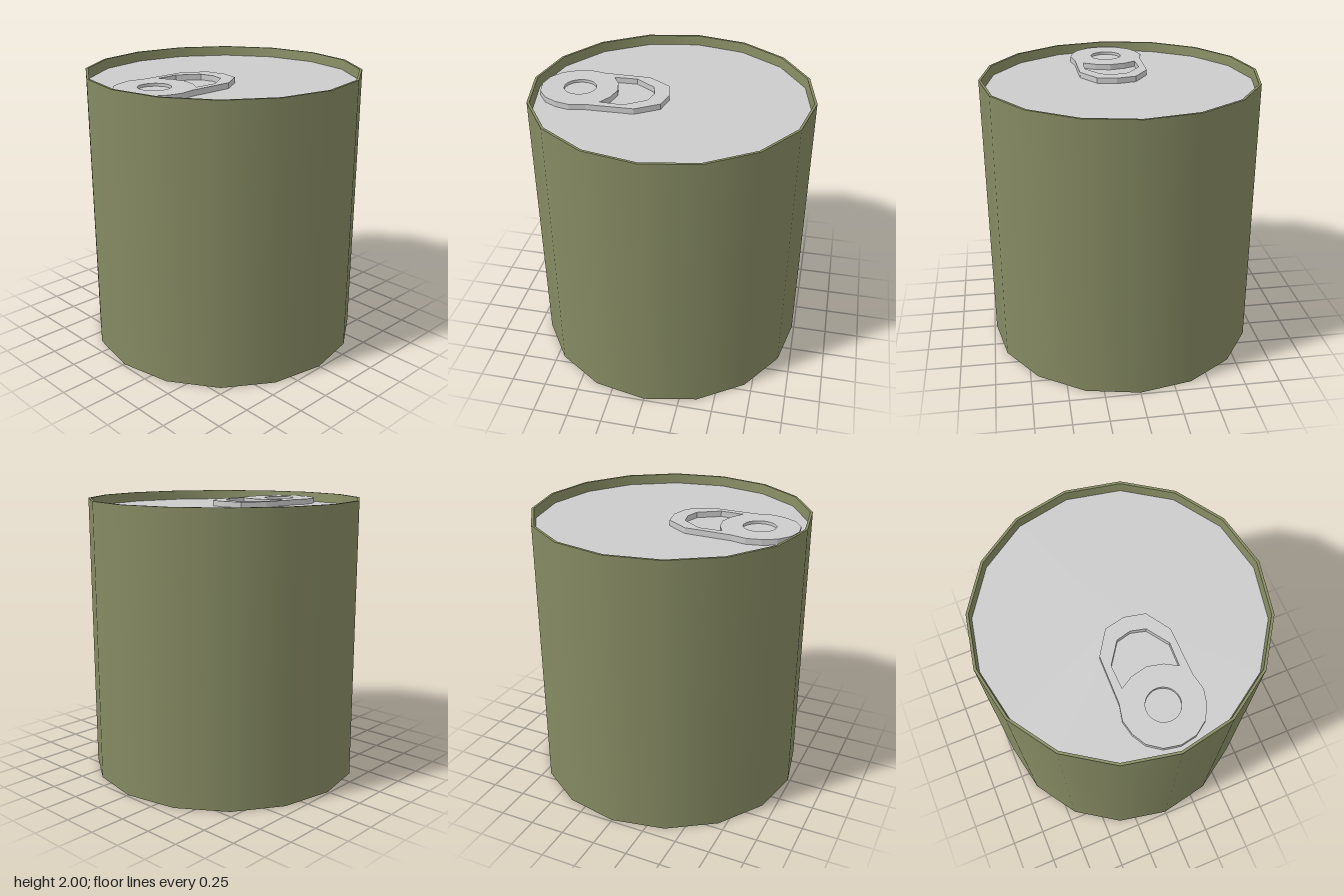
import * as THREE from 'three';
import { mergeGeometries } from 'three/addons/utils/BufferGeometryUtils.js';

const SIDES = 16, R = 0.985, H = 2;
const RIM_R = 0.967, LID_R = 0.957, LID_Y = 1.93;
const TAB_X = 0.02, TAB_TOP = 1.97;

// Turned surface with a hard edge at every profile point, smooth around the axis
function turned(profile) {
  const bands = [];
  for (let i = 0; i + 1 < profile.length; i++) {
    const pair = [profile[i], profile[i + 1]].map(([r, y]) => new THREE.Vector2(r, y));
    bands.push(new THREE.LatheGeometry(pair, SIDES));
  }
  return mergeGeometries(bands);
}

// Half outline (x >= 0, listed from back to front) mirrored into a closed loop
function mirrored(half) {
  const left = half.filter(([x]) => x > 0).reverse().map(([x, z]) => [-x, z]);
  return [...half, ...left].map(([x, z]) => new THREE.Vector2(x, z));
}

export function createModel() {
  const model = new THREE.Group();
  model.name = 'can';
  const olive = new THREE.MeshStandardMaterial({ color: 0x858a62 });
  const grey = new THREE.MeshStandardMaterial({ color: 0xcccccc });

  const add = (name, geometry, material, parent = model) => {
    const mesh = new THREE.Mesh(geometry, material);
    mesh.name = name;
    parent.add(mesh);
    return mesh;
  };

  // Body: base, outer wall, thin rim and the slightly tapered inner wall
  add('body', turned([[0, 0], [R, 0], [R, H], [RIM_R, H], [LID_R, LID_Y]]), olive);

  // Recessed lid
  add('lid', turned([[LID_R, LID_Y], [0, LID_Y]]), grey);

  // Pull tab: rounded plate with a finger opening and a rivet dimple
  const tab = new THREE.Group();
  tab.name = 'pullTab';
  tab.position.x = TAB_X;
  model.add(tab);

  const plate = new THREE.Shape(mirrored([
    [0, 0.015], [0.14, 0.045], [0.245, 0.205], [0.25, 0.54], [0.273, 0.65],
    [0.25, 0.75], [0.2, 0.84], [0.11, 0.905], [0, 0.926],
  ]));
  plate.holes.push(new THREE.Path(mirrored([
    [0, 0.12], [0.1, 0.145], [0.2, 0.29], [0.195, 0.455], [0.11, 0.405], [0, 0.38],
  ])));
  plate.holes.push(new THREE.Path().absarc(0, 0.65, 0.113, 0, Math.PI * 2, true));

  const plateGeometry = new THREE.ExtrudeGeometry(plate, {
    depth: TAB_TOP - LID_Y, bevelEnabled: false, curveSegments: 24,
  });
  plateGeometry.rotateX(Math.PI / 2).translate(0, TAB_TOP, 0);
  add('tabPlate', plateGeometry, grey, tab);

  // Rivet floor, sunk below the tab's top
  const rivet = new THREE.CircleGeometry(0.113, 24);
  rivet.rotateX(-Math.PI / 2).translate(0, TAB_TOP - 0.02, 0.65);
  add('rivet', rivet, grey, tab);

  return model;
}
